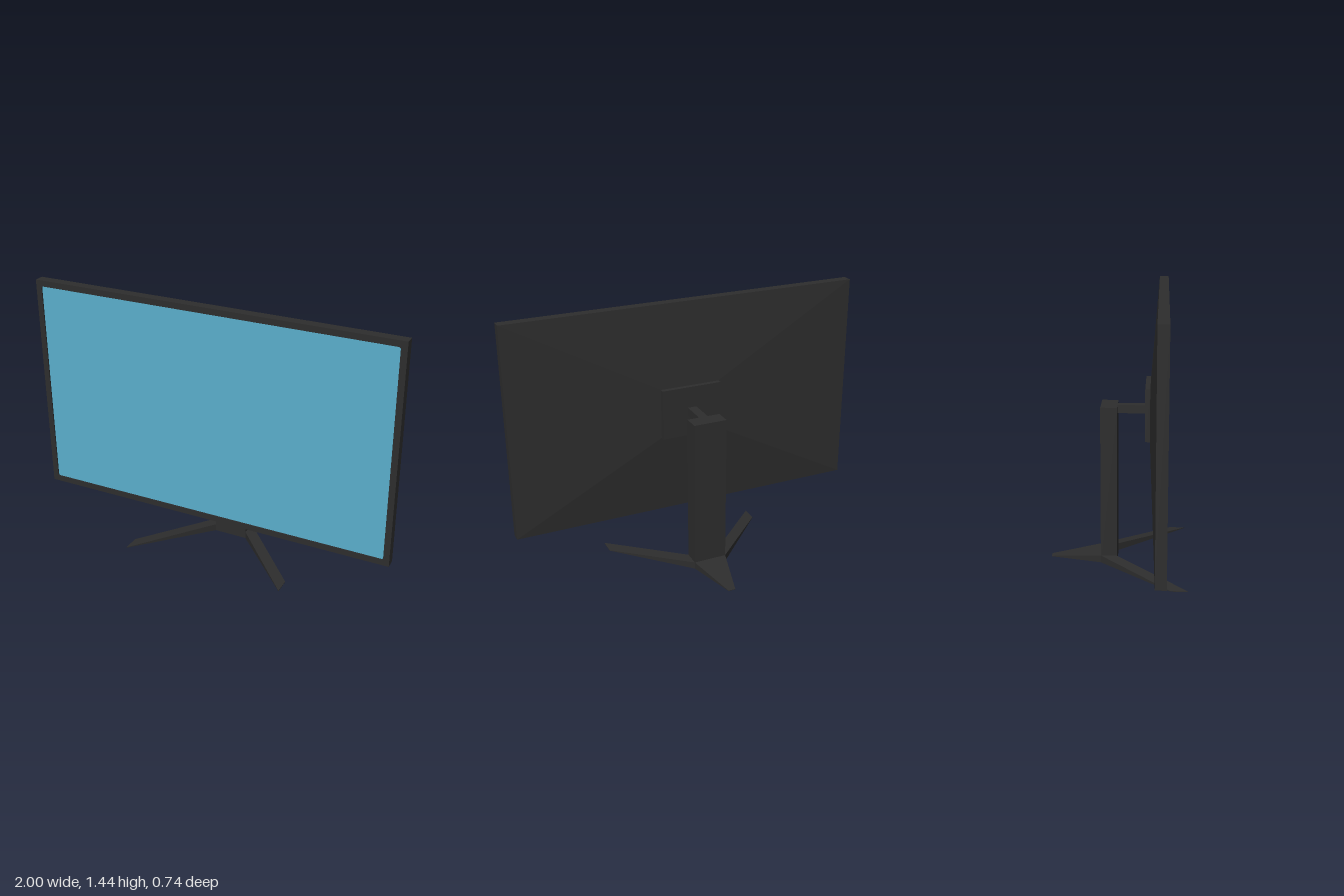
import * as THREE from 'three';
import { ConvexGeometry } from 'three/addons/geometries/ConvexGeometry.js';

const casing = new THREE.MeshStandardMaterial({ color: 0x2d2d2d });
casing.name = 'charcoal casing';
const display = new THREE.MeshStandardMaterial({ color: 0x5aafcd });
display.name = 'blue display';

// Rounded rectangle path, centred on the origin
function roundedRect(path, w, h, r) {
  const x = w / 2, y = h / 2;
  path.moveTo(-x + r, -y);
  path.lineTo(x - r, -y);
  path.quadraticCurveTo(x, -y, x, -y + r);
  path.lineTo(x, y - r);
  path.quadraticCurveTo(x, y, x - r, y);
  path.lineTo(-x + r, y);
  path.quadraticCurveTo(-x, y, -x, y - r);
  path.lineTo(-x, -y + r);
  path.quadraticCurveTo(-x, -y, -x + r, -y);
  return path;
}

export function createModel() {
  const model = new THREE.Group();
  model.name = 'monitor';

  const add = (name, geometry, material = casing) => {
    const mesh = new THREE.Mesh(geometry, material);
    mesh.name = name;
    model.add(mesh);
    return mesh;
  };
  // Box given by its limits on each axis
  const box = (name, [x0, x1], [y0, y1], [z0, z1]) =>
    add(name, new THREE.BoxGeometry(x1 - x0, y1 - y0, z1 - z0))
      .position.set((x0 + x1) / 2, (y0 + y1) / 2, (z0 + z1) / 2);
  // Solid spanning a set of corner points
  const solid = (name, points) =>
    add(name, new ConvexGeometry(points.map((p) => new THREE.Vector3(...p))));

  const bottom = 0.248, top = 1.444, midY = (bottom + top) / 2;
  const back = 0.206, front = 0.26;

  // Bezel frame with an opening for the screen
  const outline = new THREE.Shape([
    new THREE.Vector2(-1, bottom - midY), new THREE.Vector2(1, bottom - midY),
    new THREE.Vector2(1, top - midY), new THREE.Vector2(-1, top - midY),
  ]);
  outline.holes.push(roundedRect(new THREE.Path(), 1.936, 1.132, 0.012));
  const frame = new THREE.ExtrudeGeometry(outline, {
    depth: front - back, bevelEnabled: false, curveSegments: 4,
  });
  add('bezel', frame).position.set(0, midY, back);

  // Slightly recessed screen
  const screen = new THREE.ShapeGeometry(roundedRect(new THREE.Shape(), 1.936, 1.132, 0.012), 4);
  add('screen', screen, display).position.set(0, midY, front - 0.006);

  // Tapered rear shell
  const shell = [];
  for (const s of [-1, 1]) {
    shell.push([s, bottom, back], [s, top, back], [s * 0.17, 0.705, 0.168], [s * 0.17, 0.985, 0.168]);
  }
  solid('rearShell', shell);

  // Mount, arm and post
  const postX = 0.093, postBack = -0.095, postFront = -0.006;
  box('mountPlate', [-0.17, 0.17], [0.705, 0.985], [0.142, 0.168]);
  box('arm', [-0.025, 0.025], [0.823, 0.867], [postFront, 0.142]);
  box('post', [-postX, postX], [0, 0.868], [postBack, postFront]);

  // Two splayed front legs thinning toward their tips
  const high = 0.04, tip = 0.003;
  for (const [name, s] of [['leftLeg', 1], ['rightLeg', -1]]) {
    const points = [];
    for (const [rootZ, tipZ] of [[postBack, 0.282], [postFront, 0.372]]) {
      points.push([s * postX, 0, rootZ], [s * postX, high, rootZ], [s * 0.46, 0, tipZ], [s * 0.46, tip, tipZ]);
    }
    solid(name, points);
  }

  // Rear leg
  const rear = [];
  for (const s of [-1, 1]) {
    rear.push([s * postX, 0, postBack], [s * postX, high, postBack], [s * 0.02, 0, -0.372], [s * 0.02, tip, -0.372]);
  }
  solid('rearLeg', rear);

  return model;
}
